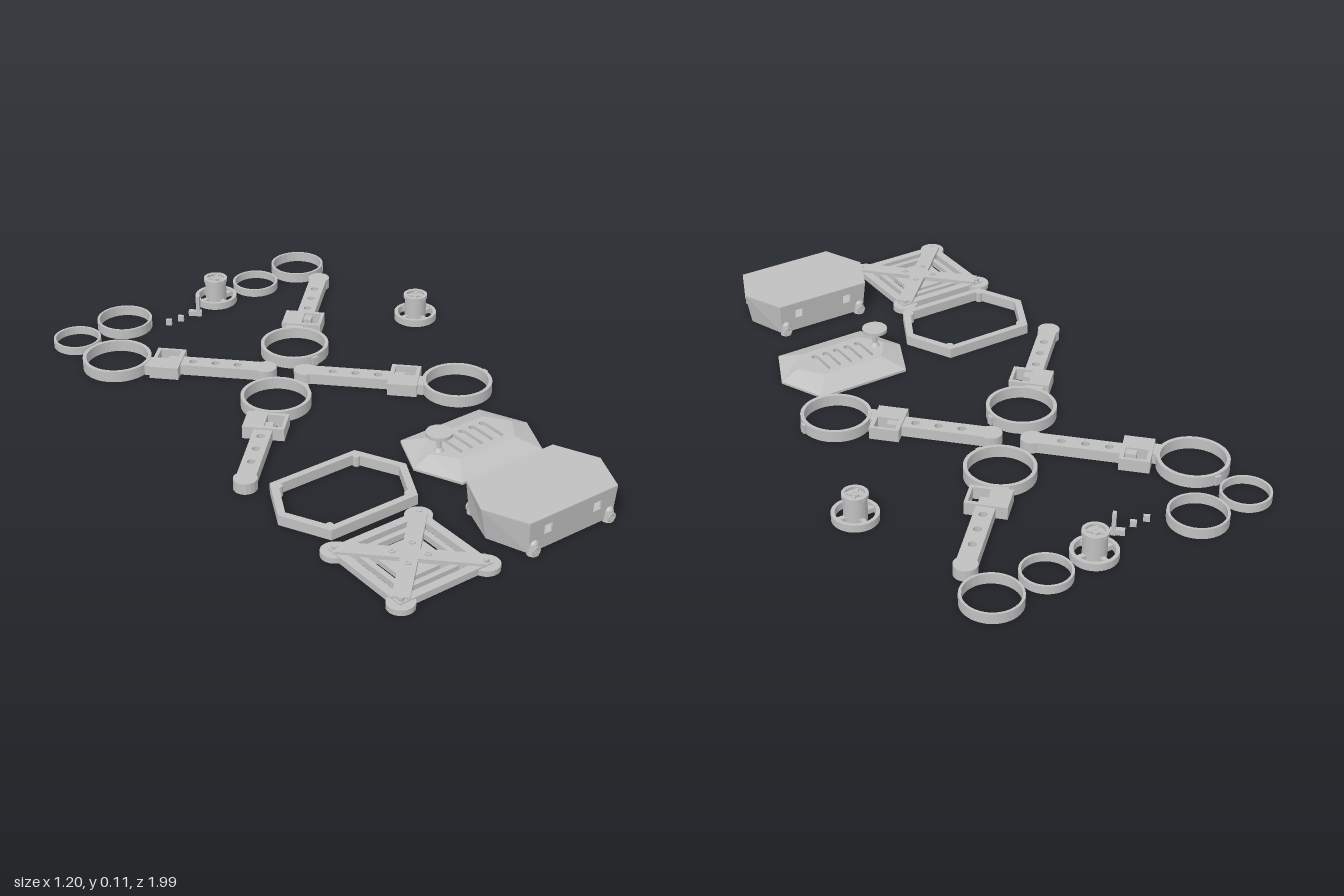
import * as THREE from 'three';
import { toCreasedNormals } from 'three/addons/utils/BufferGeometryUtils.js';

const grey = new THREE.MeshStandardMaterial({ color: 0xc0c0c0 });
grey.name = 'light grey';
grey.side = THREE.DoubleSide;

const part = (parent, name, geo, x = 0, y = 0, z = 0) => {
  const m = new THREE.Mesh(geo, grey);
  m.name = name;
  m.position.set(x, y, z);
  parent.add(m);
  return m;
};
const group = (parent, name, x, z, turn = 0) => {
  const g = new THREE.Group();
  g.name = name;
  g.position.set(x, 0, z);
  g.rotation.y = turn;
  parent.add(g);
  return g;
};
const poly = (pts) => new THREE.Shape(pts.map(([x, z]) => new THREE.Vector2(x, z)));
const rect = (x0, z0, x1, z1) => poly([[x0, z0], [x1, z0], [x1, z1], [x0, z1]]);
const circle = (r, x = 0, z = 0) => new THREE.Shape().absarc(x, z, r, 0, Math.PI * 2);
const hexPts = (tip, flat, z) => [[-tip, 0], [-flat, -z], [flat, -z], [tip, 0], [flat, z], [-flat, z]];

// Flat outline in x and z, standing on y = 0 with height h
function slab(shape, h, holes = []) {
  shape.holes.push(...holes);
  const g = new THREE.ExtrudeGeometry(shape, { depth: h, bevelEnabled: false, curveSegments: 40 });
  g.rotateX(Math.PI / 2).translate(0, h, 0);
  return toCreasedNormals(g, 0.6);
}
const ring = (ro, ri, h) => slab(circle(ro), h, [circle(ri)]);
const rod = (r0, r1, h) => new THREE.CylinderGeometry(r1, r0, h, 32).translate(0, h / 2, 0);
const box = (w, h, d) => new THREE.BoxGeometry(w, h, d).translate(0, h / 2, 0);

// Sides between two outlines, skipping any listed edges
function sides(low, high, y0, y1, skip = []) {
  const pos = [];
  low.forEach((a, i) => {
    if (skip.includes(i)) return;
    const j = (i + 1) % low.length, b = low[j], c = high[j], d = high[i];
    const A = [a[0], y0, a[1]], B = [b[0], y0, b[1]], C = [c[0], y1, c[1]], D = [d[0], y1, d[1]];
    pos.push(...A, ...C, ...B, ...A, ...D, ...C);
  });
  const g = new THREE.BufferGeometry();
  g.setAttribute('position', new THREE.Float32BufferAttribute(pos, 3));
  g.computeVertexNormals();
  return g;
}

// Propeller guard arm: ring at the origin, arm along +x, open bracket on one side
function arm(root, x, z, dx, dz, s) {
  const g = group(root, 'rotorArm', x, z, Math.atan2(-dz, dx));
  part(g, 'armRing', ring(0.114, 0.102, 0.038));
  const bar = new THREE.Shape();
  bar.moveTo(0.22, -0.03);
  bar.lineTo(0.48, -0.03);
  bar.absarc(0.503, 0, 0.037, -2.2, 2.2);
  bar.lineTo(0.48, 0.03);
  bar.lineTo(0.22, 0.03);
  part(g, 'armBar', slab(bar, 0.036, [0.41, 0.335, 0.26].map((u) => circle(0.013, u, 0))));
  part(g, 'armNeck', box(0.03, 0.036, 0.06), 0.12, 0, -s * 0.02);
  const side = (v) => s * v;
  part(g, 'bracket', slab(rect(0.125, -0.067, 0.222, 0.067), 0.042, [
    rect(0.138, Math.min(side(0), side(0.056)), 0.208, Math.max(side(0), side(0.056))),
  ]));
  part(g, 'bracketRib', box(0.035, 0.036, 0.03), 0.19, 0, s * 0.012);
  part(g, 'ringLug', box(0.012, 0.03, 0.02), -0.083, 0.004, s * 0.083).rotation.y = s * 0.8;
}

// Motor mount: spoked foot ring with a hollow hub
function motor(root, x, z) {
  const g = group(root, 'motorMount', x, z);
  part(g, 'footRing', ring(0.073, 0.061, 0.025));
  for (let i = 0; i < 4; i++) {
    const a = i * Math.PI / 2;
    part(g, 'spoke', box(0.036, 0.016, 0.016), 0.05 * Math.cos(a), 0.004, 0.05 * Math.sin(a)).rotation.y = -a;
  }
  part(g, 'hub', rod(0.037, 0.037, 0.082));
  part(g, 'hubRim', ring(0.041, 0.03, 0.012), 0, 0.08, 0);
  for (const a of [Math.PI / 4, -Math.PI / 4]) {
    part(g, 'hubCross', box(0.06, 0.006, 0.01), 0, 0.082, 0).rotation.y = a;
  }
  part(g, 'hubPin', ring(0.013, 0.006, 0.008), 0, 0.082, 0);
}

// Hollow body shell with windows and four rounded hooks
function bodyShell(root) {
  const g = group(root, 'bodyShell', 0.04, 0.845);
  const y0 = 0.006, y1 = 0.114;
  const low = hexPts(0.208, 0.16, 0.132), high = hexPts(0.23, 0.168, 0.14);
  part(g, 'shellSides', sides(low, high, y0, y1, [1, 4]));
  part(g, 'shellTop', slab(poly(high), 0.004), 0, y1 - 0.004, 0);
  part(g, 'shellFloor', slab(poly(low), 0.004), 0, y0, 0);
  for (const s of [1, -1]) {
    const wall = poly([[-0.16, y0], [0.16, y0], [0.168, y1], [-0.168, y1]]);
    for (const x of [-0.094, 0.094]) wall.holes.push(rect(x - 0.015, 0.054, x + 0.015, 0.085));
    const geo = new THREE.ExtrudeGeometry(wall, { depth: 0.006, bevelEnabled: false });
    const p = geo.attributes.position;
    for (let i = 0; i < p.count; i++) {
      const t = (p.getY(i) - y0) / (y1 - y0);
      p.setZ(i, p.getZ(i) + 0.126 + 0.008 * t);
    }
    geo.computeVertexNormals();
    part(g, 'windowWall', geo).rotation.y = s > 0 ? 0 : Math.PI;
    for (const x of [-0.145, 0.145]) {
      part(g, 'hookPost', rod(0.019, 0.016, 0.032), x, 0, s * 0.131);
      part(g, 'hookDome', new THREE.SphereGeometry(0.016, 24, 12), x, 0.032, s * 0.131);
      const nub = part(g, 'hookEye', new THREE.TorusGeometry(0.012, 0.004, 10, 24), x, 0.016, s * 0.147);
      nub.scale.z = 0.6;
    }
  }
}

// Sloped lid with blind vents and a disc antenna
function lid(root) {
  const g = group(root, 'ventedLid', 0.125, 0.43);
  const base = hexPts(0.228, 0.16, 0.152), top = hexPts(0.165, 0.11, 0.077);
  part(g, 'lidBottom', slab(poly(base), 0.008));
  part(g, 'lidSlope', sides(base, top, 0.008, 0.036));
  const slots = [-0.084, -0.043, -0.002, 0.039, 0.08].map((x) => {
    const s = new THREE.Shape();
    s.absarc(x, 0.04, 0.011, 0, Math.PI);
    s.absarc(x, -0.044, 0.011, Math.PI, Math.PI * 2);
    return s;
  });
  part(g, 'lidTop', slab(poly(top), 0.012, slots), 0, 0.024, 0);
  part(g, 'antennaFoot', rod(0.018, 0.009, 0.014), -0.13, 0.034, 0);
  part(g, 'antennaStem', rod(0.008, 0.008, 0.06), -0.13, 0.036, 0);
  part(g, 'antennaDisc', rod(0.042, 0.042, 0.011), -0.13, 0.092, 0);
}

// Square chassis: corner pads, nested rails and a cross
function chassis(root) {
  const g = group(root, 'chassis', -0.407, 0.8);
  const frame = (o, i, h) => slab(rect(-o, -o, o, o), h, [rect(-i, -i, i, i)]);
  part(g, 'outerRails', frame(0.165, 0.137, 0.022));
  part(g, 'middleRails', frame(0.118, 0.1, 0.02));
  part(g, 'centrePlate', box(0.16, 0.016, 0.16));
  for (const sx of [1, -1]) {
    part(g, 'crossBar', box(0.42, 0.03, 0.052)).rotation.y = sx * Math.PI / 4;
    for (const sz of [1, -1]) {
      part(g, 'cornerPad', rod(0.042, 0.042, 0.018), sx * 0.151, 0, sz * 0.152);
      part(g, 'padPin', rod(0.008, 0.008, 0.033), sx * 0.151, 0, sz * 0.152);
      part(g, 'boltRing', ring(0.01, 0.005, 0.004), sx * 0.036, 0.03, sz * 0.036);
    }
  }
}

// Hexagonal gasket frame with corner lugs
function hexFrame(root) {
  const g = group(root, 'hexFrame', -0.365, 0.428);
  part(g, 'frameWall', slab(poly(hexPts(0.235, 0.157, 0.156)), 0.034, [poly(hexPts(0.209, 0.141, 0.134))]));
  for (const sx of [1, -1]) for (const sz of [1, -1]) {
    part(g, 'cornerLug', rod(0.012, 0.012, 0.034), sx * 0.143, 0, sz * 0.128);
  }
}

export function createModel() {
  const root = new THREE.Group();
  root.name = 'droneKit';

  arm(root, -0.488, -0.677, 1, 1, -1);
  arm(root, 0.04, -0.4, 1, -1, 1);
  arm(root, -0.21, -0.148, -1, 1, -1);
  arm(root, 0.317, 0.127, -1, -1, 1);

  motor(root, 0.037, -0.883);
  motor(root, 0.525, -0.357);

  // Loose guard rings
  for (const [x, z, r] of [[-0.52, -0.89, 0.08], [0.21, -0.89, 0.08], [-0.325, -0.905, 0.094], [0.405, -0.905, 0.094]]) {
    const g = group(root, 'guardRing', x, z);
    part(g, 'ringBand', ring(r, r - 0.008, r > 0.09 ? 0.034 : 0.027));
    if (r > 0.09) for (const s of [1, -1]) {
      part(g, 'ringTab', box(0.014, 0.02, 0.01), s * 0.066, 0.006, 0.061).rotation.y = s * 0.8;
    }
  }

  // Small clips and an upright pin
  for (const x of [-0.195, -0.146]) {
    part(root, 'clip', box(0.02, 0.02, 0.012), x, 0, -0.826).rotation.y = -0.7;
  }
  part(root, 'pinFoot', box(0.045, 0.018, 0.018), -0.083, 0, -0.832).rotation.y = -0.7;
  part(root, 'pinPost', box(0.02, 0.075, 0.012), -0.074, 0, -0.826).rotation.y = 0.8;

  hexFrame(root);
  lid(root);
  chassis(root);
  bodyShell(root);
  return root;
}
